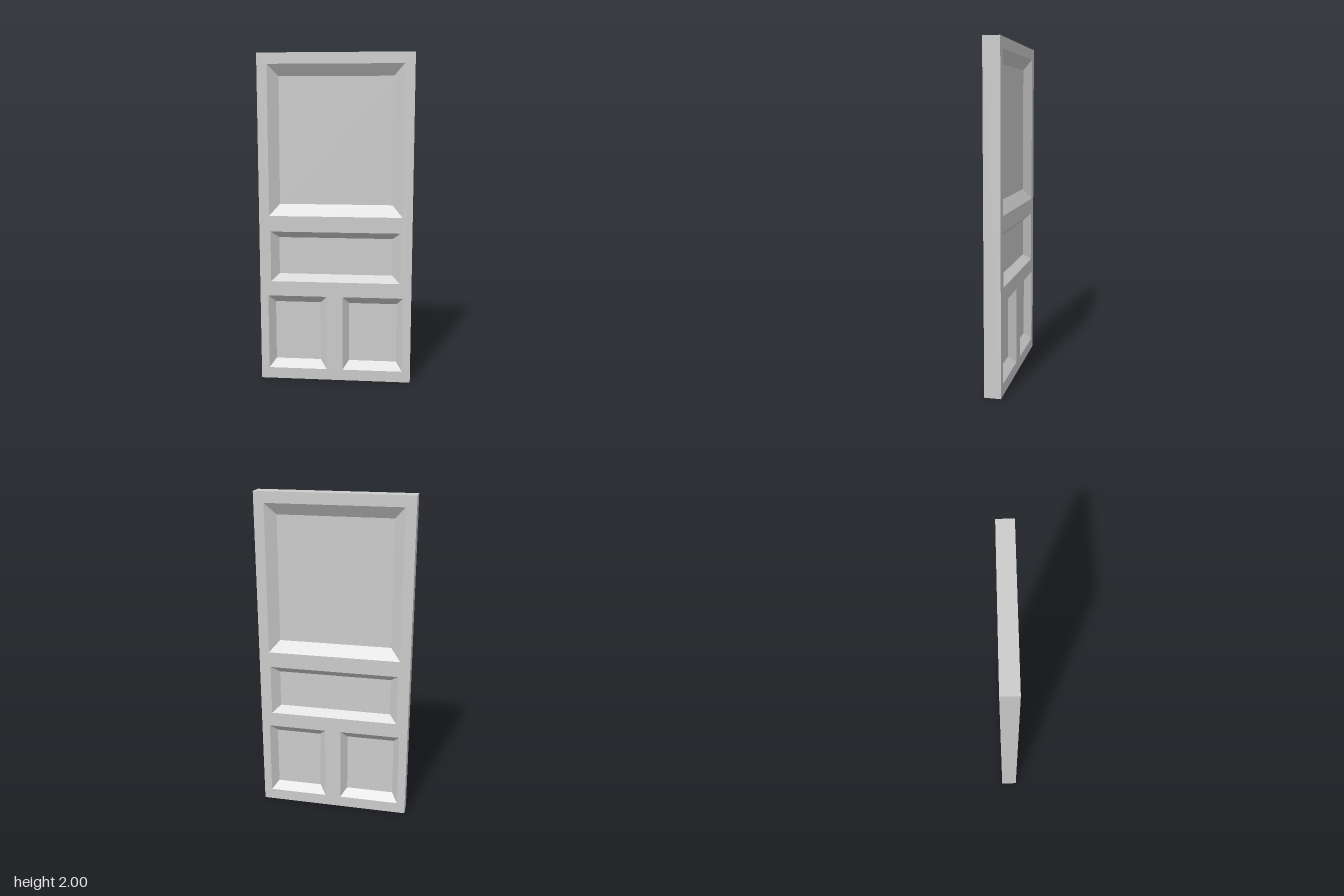
import * as THREE from 'three';

const W = 0.464, H = 2, HALF = 0.049, DEPTH = 0.045;
const material = new THREE.MeshStandardMaterial({ color: 0xcccccc, flatShading: true });

// Recessed panels: outer rectangle and inner rectangle as [x0, y0, x1, y1]
const PANELS = [
  ['topPanel', [-0.403, 1.034, 0.403, 1.935], [-0.342, 1.103, 0.342, 1.866]],
  ['middlePanel', [-0.396, 0.627, 0.393, 0.938], [-0.349, 0.668, 0.346, 0.896]],
  ['lowerRightPanel', [-0.415, 0.069, -0.053, 0.536], [-0.376, 0.117, -0.095, 0.488]],
  ['lowerLeftPanel', [0.045, 0.069, 0.413, 0.536], [0.082, 0.117, 0.376, 0.488]],
];

const corners = ([x0, y0, x1, y1]) => [[x0, y0], [x1, y0], [x1, y1], [x0, y1]];
const outline = (rect, Type) => new Type(corners(rect).map(([x, y]) => new THREE.Vector2(x, y)));

function mesh(name, geometry) {
  const m = new THREE.Mesh(geometry, material);
  m.name = name;
  return m;
}

// Four-sided band joining rectangle a at depth za to rectangle b at depth zb
function band(a, za, b, zb) {
  const ca = corners(a), cb = corners(b), pos = [];
  for (let i = 0; i < 4; i++) {
    const j = (i + 1) % 4;
    const a0 = [...ca[i], za], a1 = [...ca[j], za], b0 = [...cb[i], zb], b1 = [...cb[j], zb];
    pos.push(...a0, ...a1, ...b1, ...a0, ...b1, ...b0);
  }
  const g = new THREE.BufferGeometry();
  g.setAttribute('position', new THREE.Float32BufferAttribute(pos, 3));
  g.computeVertexNormals();
  return g;
}

// One face of the door: pierced frame, sloping mouldings and sunken panels
function createSide(name) {
  const side = new THREE.Group();
  side.name = name;
  const shape = outline([-W, 0, W, H], THREE.Shape);
  for (const [panelName, outer, inner] of PANELS) {
    shape.holes.push(outline(outer, THREE.Path));
    side.add(mesh(panelName + 'Moulding', band(outer, HALF, inner, HALF - DEPTH)));
    const floor = new THREE.ShapeGeometry(outline(inner, THREE.Shape));
    side.add(mesh(panelName, floor.translate(0, 0, HALF - DEPTH)));
  }
  side.add(mesh('frame', new THREE.ShapeGeometry(shape).translate(0, 0, HALF)));
  return side;
}

export function createModel() {
  const door = new THREE.Group();
  door.name = 'door';

  // Both faces are alike, turned half a revolution
  const back = createSide('backSide');
  back.rotation.y = Math.PI;
  door.add(createSide('frontSide'), back);

  // Outer edges of the slab
  const slab = [-W, 0, W, H];
  door.add(mesh('edges', band(slab, -HALF, slab, HALF)));
  return door;
}
